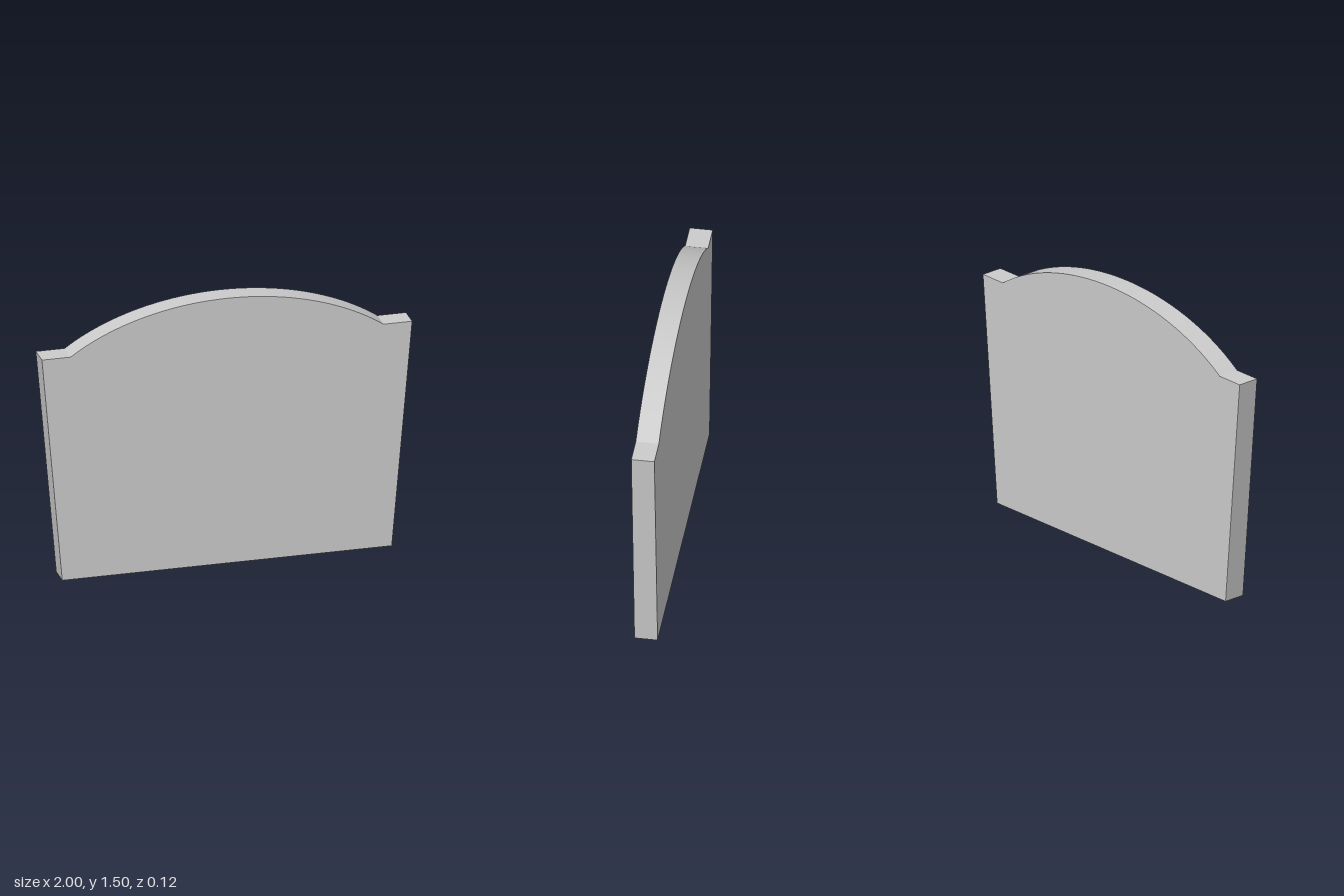
import * as THREE from 'three';

export function createModel() {
  const group = new THREE.Group();
  group.name = 'archedPanel';

  const depth = 0.122;
  const archHalf = 0.845, shoulderY = 1.26, topY = 1.5;

  // Shallow elliptical crown between the two shoulders
  const a = 1.15, k = (x) => 1 - Math.sqrt(1 - (x / a) ** 2);
  const archY = (x) => topY - (topY - shoulderY) * k(x) / k(archHalf);

  // Tapered outline, wider at the shoulders than at the foot
  const shape = new THREE.Shape();
  shape.moveTo(-0.89, 0);
  shape.lineTo(0.89, 0);
  shape.lineTo(1, shoulderY);
  const steps = 64;
  for (let i = 0; i <= steps; i++) {
    const x = archHalf * (1 - (2 * i) / steps);
    shape.lineTo(x, archY(x));
  }
  shape.lineTo(-1, shoulderY);
  shape.closePath();

  const geometry = new THREE.ExtrudeGeometry(shape, { depth, bevelEnabled: false });
  geometry.translate(0, 0, -depth / 2);

  const panel = new THREE.Mesh(geometry, new THREE.MeshStandardMaterial({ color: 0xcccccc }));
  panel.name = 'panel';
  group.add(panel);
  return group;
}
